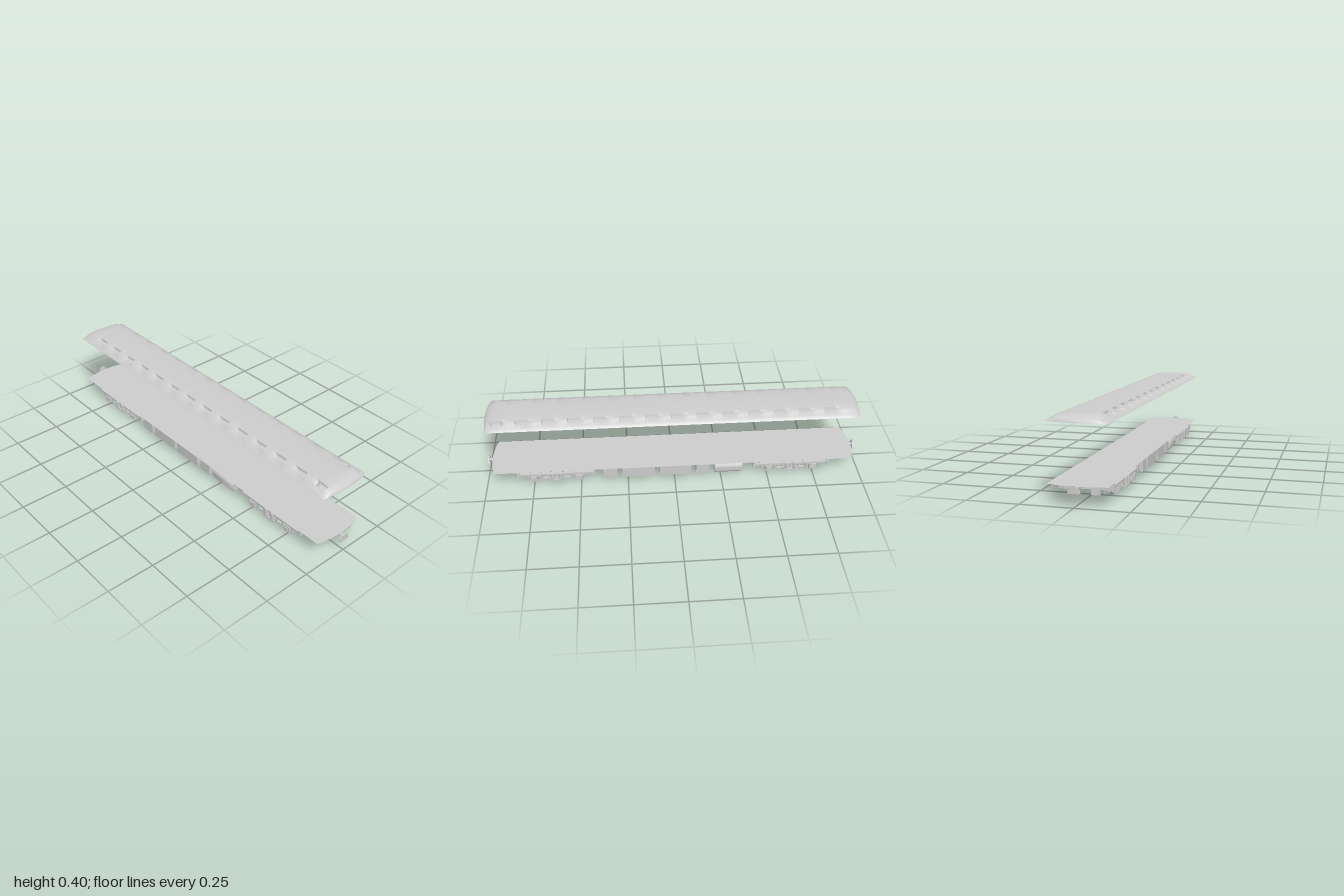
import * as THREE from 'three';
import { toCreasedNormals } from 'three/addons/utils/BufferGeometryUtils.js';

const grey = new THREE.MeshStandardMaterial({ color: 0xcccccc, side: THREE.DoubleSide });
grey.name = 'lightGrey';

function add(parent, name, geometry, x = 0, y = 0, z = 0) {
  const mesh = new THREE.Mesh(geometry, grey);
  mesh.name = name;
  mesh.position.set(x, y, z);
  parent.add(mesh);
  return mesh;
}
// box given by its limits on each axis
function block(parent, name, x0, x1, y0, y1, z0, z1) {
  return add(parent, name,
    new THREE.BoxGeometry(Math.abs(x1 - x0), Math.abs(y1 - y0), Math.abs(z1 - z0)),
    (x0 + x1) / 2, (y0 + y1) / 2, (z0 + z1) / 2);
}

// Roof shell: lofted half profile with scalloped recesses along both sides
function roofGeometry() {
  const high = [[0, 0.3955], [0.05, 0.395], [0.085, 0.393], [0.088, 0.3925], [0.098, 0.39],
    [0.108, 0.385], [0.118, 0.378], [0.128, 0.3735], [0.138, 0.368], [0.145, 0.3615]];
  const low = [0.3955, 0.395, 0.393, 0.381, 0.380, 0.379, 0.3765, 0.373, 0.368, 0.3615];
  const stations = [];
  for (const e of [0, 0.003, 0.008, 0.015, 0.025, 0.04, 0.06, 0.08, 0.1]) {
    stations.push([-0.98 + e, 0], [0.98 - e, 0]);
  }
  for (let k = 0; k < 14; k++) {
    const z = -0.844 + k * 0.1327;
    for (const [dz, d] of [[-0.03, 0], [-0.015, 0.2], [-0.003, 0.65], [0.006, 0.92], [0.02, 1], [0.063, 1], [0.065, 0]]) {
      if (Math.abs(z + dz) < 0.95) stations.push([z + dz, d]);
    }
  }
  stations.sort((a, b) => a[0] - b[0]);
  // stations of the end rounding that fall inside a recess take its depth
  const depthAt = z => {
    const t = ((z + 0.844) % 0.1327 + 0.1327) % 0.1327;
    return z > -0.845 && z < 0.95 && t > 0.02 && t < 0.063 ? 1 : 0;
  };
  const n = high.length, cols = 2 * n - 1, pos = [], idx = [];
  stations.forEach(([z, d0]) => {
    const d = Math.max(d0, depthAt(z));
    const t = Math.max(0, (Math.abs(z) - 0.88) / 0.1);
    const f = Math.sqrt(Math.max(0, 1 - t ** 2.6));
    for (let c = 0; c < cols; c++) {
      const i = Math.abs(c - n + 1), x = Math.sign(c - n + 1) * high[i][0];
      const y = high[i][1] + (low[i] - high[i][1]) * d;
      const bow = 0.018 * (x / 0.145) ** 2 * Math.min(1, t * 1.2);
      pos.push(x, 0.3615 + (y - 0.3615) * f, z - Math.sign(z) * bow);
    }
  });
  for (let r = 0; r < stations.length - 1; r++) {
    for (let c = 0; c < cols - 1; c++) {
      const a = r * cols + c, b = a + cols;
      idx.push(a, b, a + 1, a + 1, b, b + 1);
    }
  }
  const g = new THREE.BufferGeometry();
  g.setAttribute('position', new THREE.Float32BufferAttribute(pos, 3));
  g.setIndex(idx);
  return toCreasedNormals(g, 0.7);
}

// Floor sheet with bowed ends
function floorGeometry() {
  const s = new THREE.Shape();
  s.moveTo(-0.14, -0.955);
  s.quadraticCurveTo(0, -0.995, 0.14, -0.955);
  s.lineTo(0.14, 0.955);
  s.quadraticCurveTo(0, 0.995, -0.14, 0.955);
  s.closePath();
  return new THREE.ShapeGeometry(s).rotateX(-Math.PI / 2);
}

// Wheel turned about x, flange on the inner side
function wheelGeometry() {
  const p = [[0.009, 0.004], [0.024, 0.004], [0.026, 0], [0.036, 0], [0.035, 0.004], [0.029, 0.007],
    [0.027, 0.02], [0.022, 0.021], [0.018, 0.012], [0.01, 0.012], [0.008, 0.024], [0, 0.024]]
    .map(([r, h]) => new THREE.Vector2(r, h));
  return toCreasedNormals(new THREE.LatheGeometry(p, 24).rotateZ(-Math.PI / 2), 0.6);
}

function bogie() {
  const g = new THREE.Group();
  g.name = 'bogie';
  for (const z of [-0.12, 0.12]) {
    add(g, 'axle', new THREE.CylinderGeometry(0.01, 0.01, 0.23, 12).rotateZ(Math.PI / 2), 0, 0.036, z);
    for (const s of [-1, 1]) {
      const w = add(g, 'wheel', wheelGeometry(), s * 0.083, 0.036, z);
      if (s < 0) w.rotation.y = Math.PI;
    }
  }
  block(g, 'bolster', -0.11, 0.11, 0.045, 0.07, -0.025, 0.025);
  block(g, 'centrePivot', -0.025, 0.025, 0.07, 0.088, -0.025, 0.025);
  for (const z of [-0.055, 0.055, -0.185, 0.185]) {
    block(g, 'crossBar', -0.115, 0.115, 0.04, 0.052, z - 0.006, z + 0.006);
  }
  for (const s of [-1, 1]) {
    block(g, 'sideBeam', s * 0.112, s * 0.128, 0.053, 0.064, -0.2, 0.2);
    block(g, 'lowerBeam', s * 0.114, s * 0.126, 0.027, 0.034, -0.075, 0.075);
    block(g, 'springPlank', s * 0.118, s * 0.134, 0.018, 0.027, -0.035, 0.035);
    for (const z of [-0.12, 0.12]) {
      block(g, 'axleBox', s * 0.112, s * 0.133, 0.02, 0.053, z - 0.019, z + 0.019);
      block(g, 'axleBoxCover', s * 0.133, s * 0.137, 0.026, 0.046, z - 0.012, z + 0.012);
      for (const d of [-0.034, 0.034]) {
        add(g, 'axleSpring', new THREE.CylinderGeometry(0.007, 0.007, 0.028, 10), s * 0.12, 0.041, z + d);
      }
    }
    for (const z of [-0.045, 0, 0.045]) {
      block(g, 'beamStrut', s * 0.115, s * 0.125, 0.027, 0.055, z - 0.006, z + 0.006);
    }
    for (const z of [-0.022, 0.022]) {
      add(g, 'bolsterSpring', new THREE.CylinderGeometry(0.01, 0.01, 0.038, 10), s * 0.127, 0.046, z);
    }
    for (const z of [-0.2, 0.2]) {
      block(g, 'beamEnd', s * 0.11, s * 0.13, 0.042, 0.075, z - 0.006, z + 0.006);
    }
  }
  return g;
}

// Half of the underframe; the other half is the same turned by 180 degrees
function underframeHalf() {
  const g = new THREE.Group();
  g.name = 'underframeHalf';
  // equipment boxes and tank along one side
  for (const [z0, z1] of [[0.305, 0.38], [0.105, 0.28], [-0.09, 0.08], [-0.185, -0.115]]) {
    block(g, 'equipmentBox', 0.095, 0.139, 0.03, 0.087, z0, z1);
  }
  const tank = [[0, -0.075], [0.031, -0.075], [0.035, -0.069], [0.035, 0.069], [0.031, 0.075], [0, 0.075]]
    .map(([r, h]) => new THREE.Vector2(r, h));
  add(g, 'tank', toCreasedNormals(new THREE.LatheGeometry(tank, 24).rotateX(Math.PI / 2), 0.9), 0.104, 0.05, -0.29);
  // bogie and draw gear
  const b = bogie();
  b.position.z = 0.63;
  g.add(b);
  block(g, 'centreSill', -0.012, 0.012, 0.074, 0.087, 0.415, 0.94);
  add(g, 'couplerShaft', new THREE.CylinderGeometry(0.007, 0.007, 0.06, 12).rotateX(Math.PI / 2), 0, 0.078, 0.962);
  const head = new THREE.Shape();
  head.moveTo(-0.029, 0.062);
  head.lineTo(0.029, 0.062);
  head.bezierCurveTo(0.028, 0.076, 0.02, 0.08, 0.017, 0.09);
  head.bezierCurveTo(0.01, 0.099, -0.01, 0.099, -0.017, 0.09);
  head.bezierCurveTo(-0.02, 0.08, -0.028, 0.076, -0.029, 0.062);
  add(g, 'couplerHead', new THREE.ExtrudeGeometry(head, { depth: 0.01, bevelEnabled: false }), 0, 0, 0.99);
  block(g, 'endBox', 0.062, 0.103, 0.05, 0.087, 0.945, 0.953);
  for (const s of [-1, 1]) {
    block(g, 'hangerRod', s * 0.084, s * 0.088, 0.03, 0.087, 0.838, 0.842);
  }
  return g;
}

export function createModel() {
  const model = new THREE.Group();
  model.name = 'railCarRoofAndUnderframe';
  add(model, 'roof', roofGeometry());
  add(model, 'floor', floorGeometry(), 0, 0.088, 0);
  const front = underframeHalf();
  const back = underframeHalf();
  back.rotation.y = Math.PI;
  model.add(front, back);
  return model;
}
